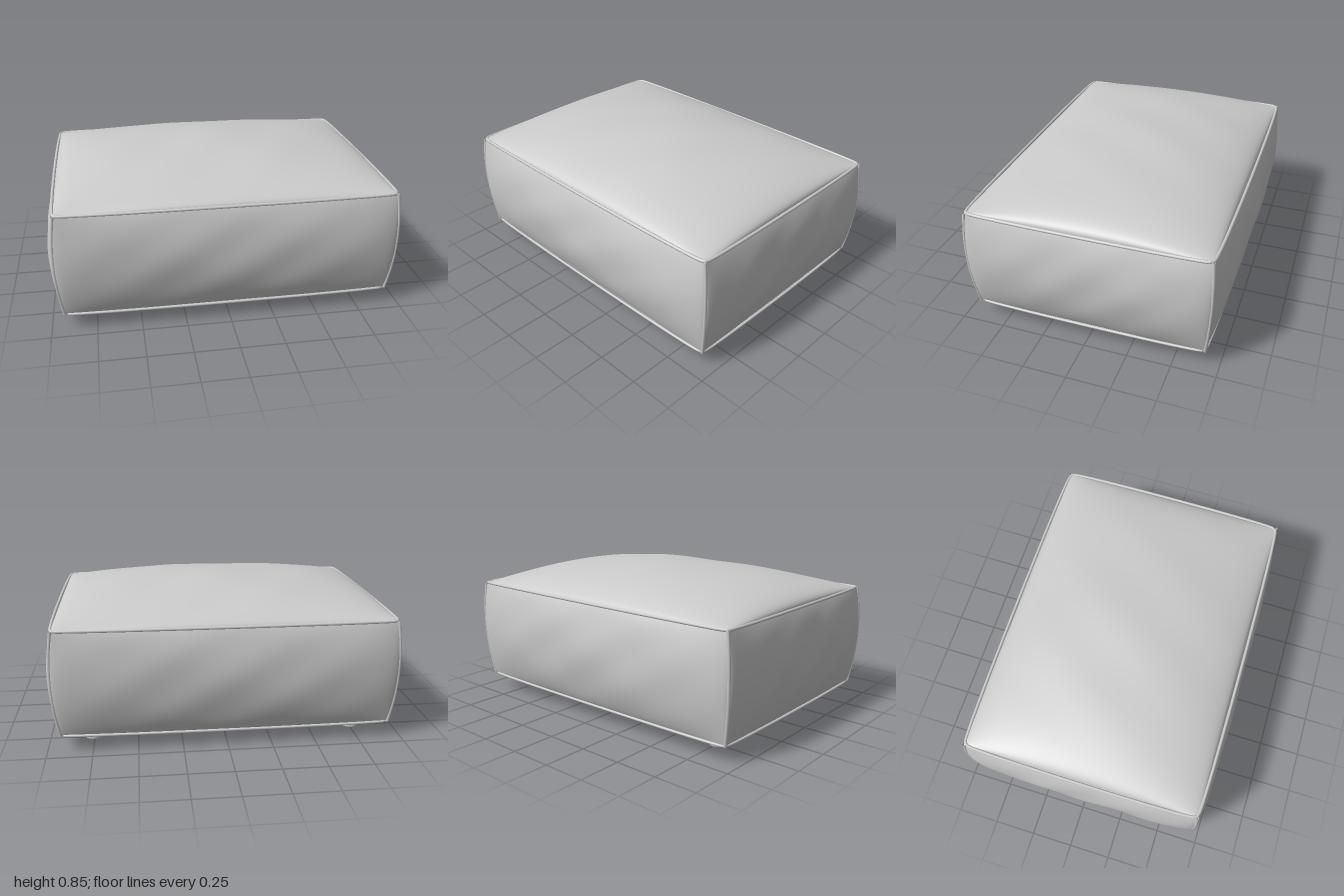
import * as THREE from 'three';

const BOTTOM = 0.09, TOP = 0.695;
const mat = new THREE.MeshStandardMaterial({ color: 0xcccccc, roughness: 0.9, side: THREE.DoubleSide });

// Height and corner-seam position for v in [-1, 1] (bottom to top)
const height = v => BOTTOM + (TOP - BOTTOM) * (v + 1) / 2;
const cornerX = v => 0.932 + 0.008 * v + 0.025 * (1 - v * v);
const cornerZ = v => 0.677 + 0.010 * v + 0.017 * (1 - v * v);
const puff = (t, power, p) => Math.pow(Math.max(0, 1 - Math.pow(Math.abs(t), power)), p);

// Soft fabric creases that fade out at the seams
const crease = (u, v, seed) => (1 - u * u) * (1 - v * v) * 0.003 *
  (Math.sin(7 * u + 3 * v + seed) + Math.sin(11 * u - 5 * v + 2 * seed));

// Smooth panel from a rule f(u, v), sampled densely near its edges
function panel(name, f, nu = 56, nv = 40) {
  const pos = [], idx = [];
  const ease = s => Math.sin(Math.PI * (s - 0.5));
  for (let j = 0; j <= nv; j++) {
    for (let i = 0; i <= nu; i++) pos.push(...f(ease(i / nu), ease(j / nv)));
  }
  for (let j = 0; j < nv; j++) {
    for (let i = 0; i < nu; i++) {
      const a = j * (nu + 1) + i, b = a + 1, c = a + nu + 1, d = c + 1;
      idx.push(a, b, d, a, d, c);
    }
  }
  const geo = new THREE.BufferGeometry();
  geo.setAttribute('position', new THREE.Float32BufferAttribute(pos, 3));
  geo.setIndex(idx);
  geo.computeVertexNormals();
  const mesh = new THREE.Mesh(geo, mat);
  mesh.name = name;
  return mesh;
}

function piping(name, points, closed, radius = 0.009) {
  const curve = new THREE.CatmullRomCurve3(points, closed, 'centripetal');
  const mesh = new THREE.Mesh(new THREE.TubeGeometry(curve, closed ? 240 : 32, radius, 8, closed), mat);
  mesh.name = name;
  return mesh;
}

// Rectangular loop with small rounded corners
function loop(x, z, y, r = 0.025) {
  const pts = [];
  [[1, 1], [-1, 1], [-1, -1], [1, -1]].forEach(([sx, sz], k) => {
    const corner = [[x - r, z], [x - 0.3 * r, z - 0.3 * r], [x, z - r]];
    if (k % 2 === 0) corner.reverse();
    corner.forEach(([px, pz]) => pts.push(new THREE.Vector3(sx * px, y, sz * pz)));
  });
  return pts;
}

function roundedRect(path, x, z, r) {
  path.moveTo(-x + r, -z);
  path.lineTo(x - r, -z).quadraticCurveTo(x, -z, x, -z + r);
  path.lineTo(x, z - r).quadraticCurveTo(x, z, x - r, z);
  path.lineTo(-x + r, z).quadraticCurveTo(-x, z, -x, z - r);
  path.lineTo(-x, -z + r).quadraticCurveTo(-x, -z, -x + r, -z);
  return path;
}

export function createModel() {
  const group = new THREE.Group();
  group.name = 'footstool';

  // Domed seat top
  group.add(panel('seatTop', (u, v) => [
    u * cornerX(1),
    TOP + 0.148 * puff(u, 2, 0.47) * puff(v, 2, 0.64) + crease(u, v, 1),
    -v * cornerZ(1),
  ]));

  // Bulging upholstered sides
  for (const [s, front, side] of [[1, 'frontPanel', 'leftPanel'], [-1, 'backPanel', 'rightPanel']]) {
    group.add(panel(front, (u, v) => [
      s * u * cornerX(v), height(v),
      s * (cornerZ(v) + 0.047 * puff(u, 4, 0.5) * puff(v, 2, 0.8) + crease(u, v, 2 + s)),
    ]));
    group.add(panel(side, (u, v) => [
      s * (cornerX(v) + 0.041 * puff(u, 4, 0.5) * puff(v, 2, 0.8) + crease(u, v, 4 + s)),
      height(v), -s * u * cornerZ(v),
    ]));
  }

  // Piping along the seams
  group.add(piping('topPiping', loop(cornerX(1), cornerZ(1), TOP), true));
  group.add(piping('bottomPiping', loop(cornerX(-1), cornerZ(-1), BOTTOM), true, 0.008));
  for (const sx of [-1, 1]) for (const sz of [-1, 1]) {
    const pts = [-1, -0.5, 0, 0.5, 1].map(v =>
      new THREE.Vector3(sx * cornerX(v), height(v), sz * cornerZ(v)));
    group.add(piping('cornerPiping', pts, false));
  }

  // Narrow hem around the open underside
  const hem = roundedRect(new THREE.Shape(), cornerX(-1), cornerZ(-1), 0.02);
  hem.holes.push(roundedRect(new THREE.Path(), cornerX(-1) - 0.025, cornerZ(-1) - 0.025, 0.04));
  const hemMesh = new THREE.Mesh(new THREE.ShapeGeometry(hem, 8).rotateX(Math.PI / 2), mat);
  hemMesh.position.y = BOTTOM - 0.004;
  hemMesh.name = 'bottomHem';
  group.add(hemMesh);

  // Short round feet with softened lower edge
  const footProfile = [[0, 0], [0.046, 0], [0.0505, 0.002], [0.052, 0.007], [0.052, 0.09], [0, 0.09]]
    .map(([r, y]) => new THREE.Vector2(r, y));
  const footGeo = new THREE.LatheGeometry(footProfile, 32);
  for (const sx of [-1, 1]) for (const sz of [-1, 1]) {
    const foot = new THREE.Mesh(footGeo, mat);
    foot.position.set(sx * 0.755, 0, sz * 0.492);
    foot.name = 'foot';
    group.add(foot);
  }
  return group;
}
